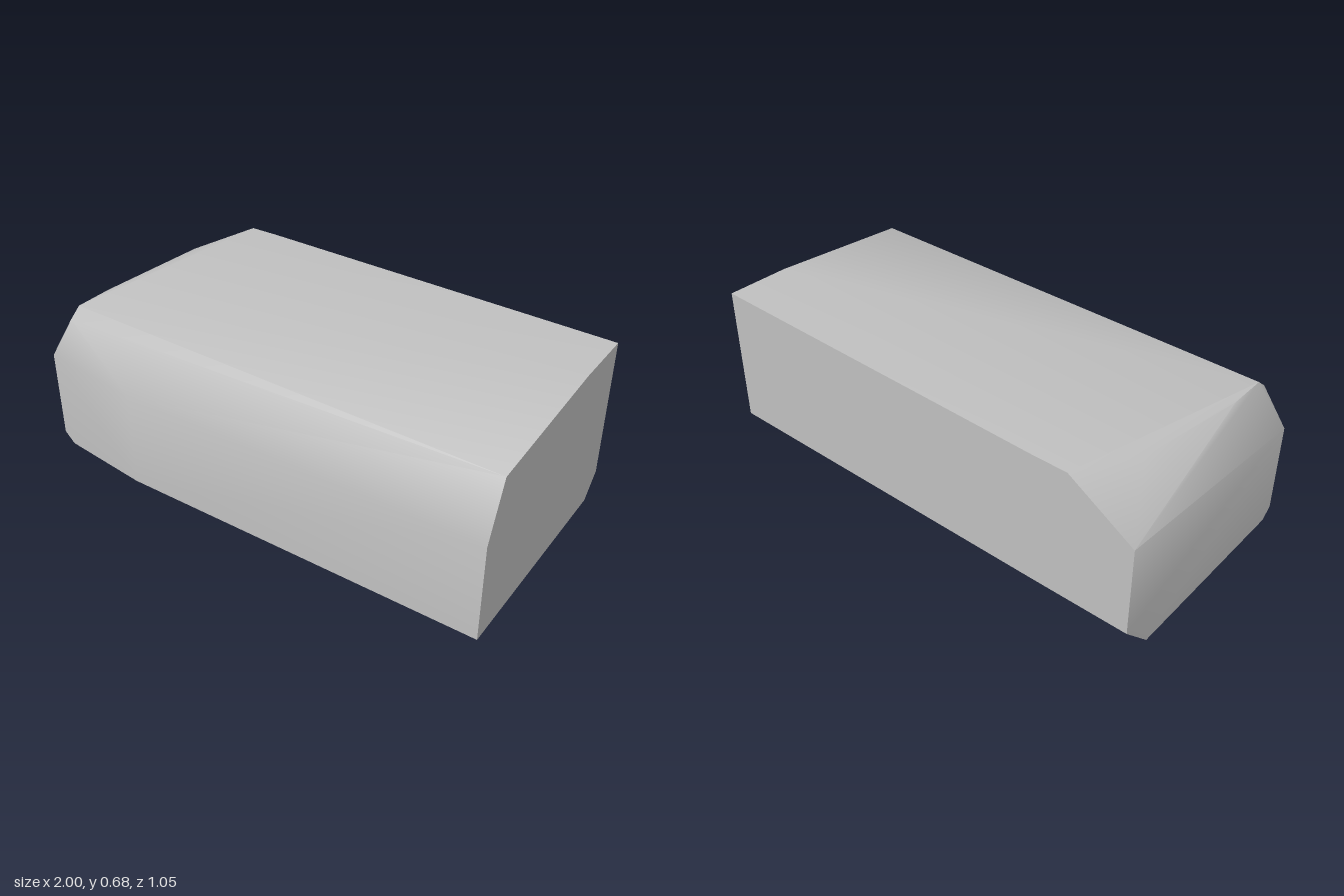
import * as THREE from 'three';
import { ConvexGeometry } from 'three/addons/geometries/ConvexGeometry.js';
import { toCreasedNormals } from 'three/addons/utils/BufferGeometryUtils.js';

// Corners of each cross-section, listed as [z, y] at a given x
const sections = [
  // full right end
  [1, [[0.525, 0], [0.525, 0.41], [0.435, 0.635], [-0.2, 0.68], [-0.475, 0.68], [-0.475, 0.09], [-0.39, 0]]],
  // where the front and back walls start to bend
  [-0.55, [[0.525, 0], [0.525, 0.41]]],
  [-0.6, [[-0.525, 0.68], [-0.525, 0.14]]],
  // rounded shoulder above the left end
  [-0.73, [[-0.525, 0.68]]],
  [-0.85, [[-0.26, 0.65]]],
  [-0.91, [[0.22, 0.635], [0.385, 0.635], [0.435, 0.595]]],
  // clipped lower front corner
  [-0.95, [[0.48, 0]]],
  // left end
  [-1, [[0.475, 0.04], [0.475, 0.42], [-0.525, 0.51], [-0.525, 0.14], [-0.39, 0], [0.43, 0]]],
];

export function createModel() {
  const group = new THREE.Group();
  group.name = 'bevelledBlock';

  const stone = new THREE.MeshStandardMaterial({ color: 0xc0c0c0 });
  stone.name = 'light grey';

  // Bevelled solid wrapped around the section corners
  const points = sections.flatMap(([x, corners]) =>
    corners.map(([z, y]) => new THREE.Vector3(x, y, z)));
  const block = new THREE.Mesh(toCreasedNormals(new ConvexGeometry(points), 0.7), stone);
  block.name = 'block';
  group.add(block);

  return group;
}
